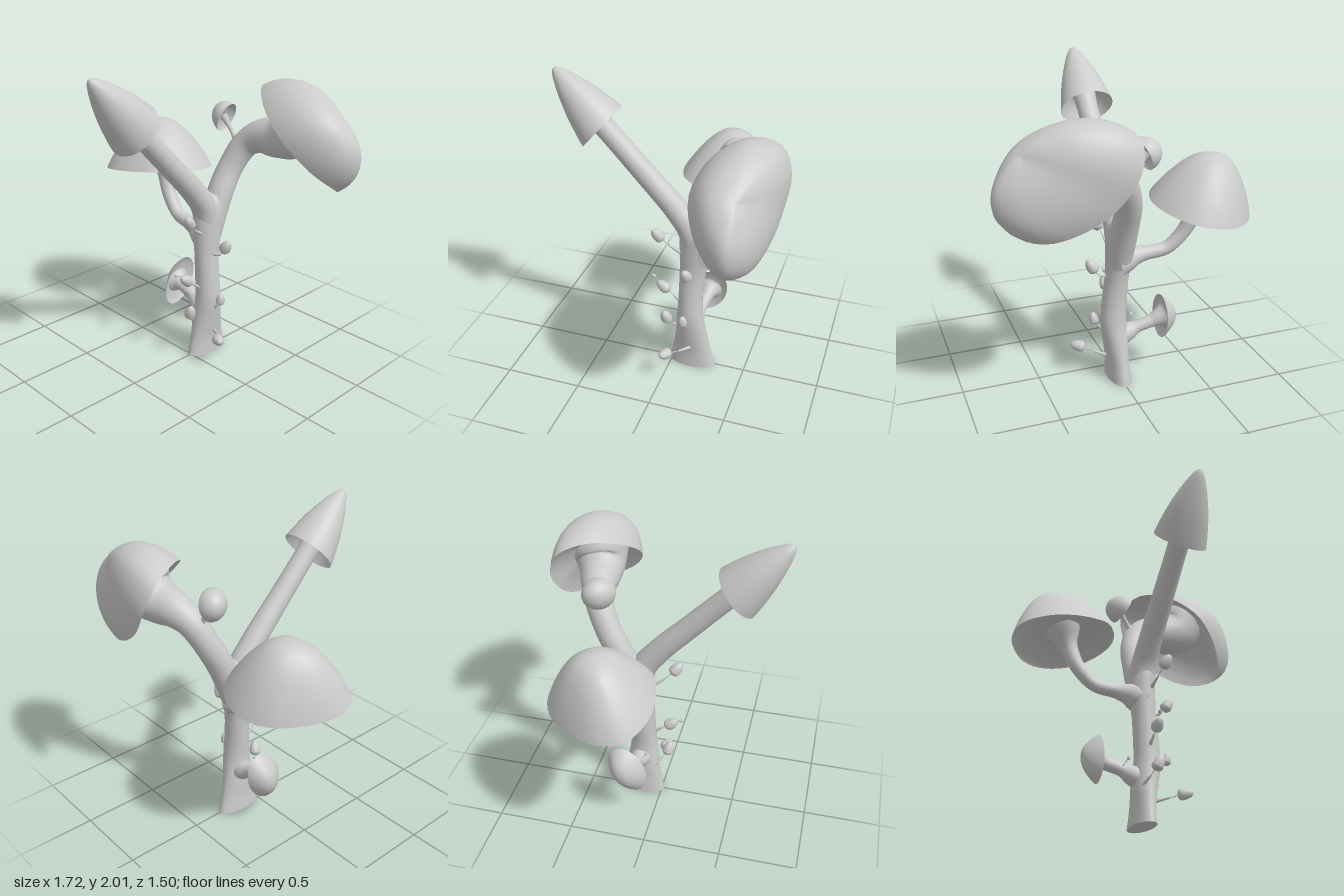
import * as THREE from 'three';

const material = new THREE.MeshStandardMaterial({ color: 0xcccccc, side: THREE.DoubleSide });
const V = (a) => new THREE.Vector3(...a);

// Smooth surface from a stack of rings; at(i, angle) gives each corner
function loft(rings, sides, at) {
  const pos = [], index = [];
  for (let i = 0; i < rings; i++) {
    for (let j = 0; j < sides; j++) {
      pos.push(...at(i, (j / sides) * Math.PI * 2).toArray());
      if (i === rings - 1) continue;
      const k = (j + 1) % sides, a = i * sides + j, b = i * sides + k;
      index.push(a, a + sides, b, b, a + sides, b + sides);
    }
  }
  const geo = new THREE.BufferGeometry();
  geo.setAttribute('position', new THREE.Float32BufferAttribute(pos, 3));
  geo.setIndex(index);
  geo.computeVertexNormals();
  return geo;
}

function add(parent, name, geo) {
  const mesh = new THREE.Mesh(geo, material);
  mesh.name = name;
  parent.add(mesh);
}

// Round branch along points of [x, y, z, radius]
function limb(parent, name, points, sides = 20, steps = 32) {
  const path = new THREE.CatmullRomCurve3(points.map((p) => V(p.slice(0, 3))));
  const radii = new THREE.CatmullRomCurve3(points.map((p) => new THREE.Vector3(p[3], 0, 0)));
  const side = new THREE.Vector3(), ahead = new THREE.Vector3();
  const frames = [];
  for (let i = 0; i <= steps; i++) {
    const t = i / steps, tangent = path.getTangent(t);
    if (i === 0) side.crossVectors(tangent, Math.abs(tangent.z) < 0.8 ? V([0, 0, 1]) : V([1, 0, 0]));
    side.addScaledVector(tangent, -side.dot(tangent)).normalize();
    ahead.crossVectors(tangent, side);
    frames.push({ c: path.getPoint(t), r: radii.getPoint(t).x, n: side.clone(), b: ahead.clone() });
  }
  add(parent, name, loft(steps + 1, sides, (i, a) => {
    const f = frames[i];
    return f.c.clone().addScaledVector(f.n, Math.cos(a) * f.r).addScaledVector(f.b, Math.sin(a) * f.r);
  }));
}

// Cap profiles: [share of rim radius, share of height]
const DOME = [[1, 0], [0.98, 0.2], [0.9, 0.44], [0.76, 0.65], [0.56, 0.83], [0.3, 0.95], [0.12, 0.993], [0, 1]];
const HAT = [[1, 0], [0.93, 0.14], [0.78, 0.4], [0.56, 0.7], [0.34, 0.9], [0.15, 0.98], [0, 1]];
const SPIKE = [[1, 0], [0.93, 0.14], [0.74, 0.43], [0.49, 0.7], [0.25, 0.9], [0.1, 0.98], [0, 1]];
const HOLLOW = [[1, 0], [0.93, 0.06], [0.78, 0.16], [0.5, 0.26], [0, 0.3]];
const BULGE = [[1, 0], [0.85, -0.16], [0.5, -0.3], [0, -0.35]];

// Rims as offsets from the cap centre: an oval with half-axes u, v, or a free loop
const oval = (u, v) => (a) => V(u).multiplyScalar(Math.cos(a)).addScaledVector(V(v), Math.sin(a));
function freeRim(centre, points) {
  const curve = new THREE.CatmullRomCurve3(points.map((p) => V(p).sub(V(centre))), true);
  return (a) => curve.getPoint(((a / (Math.PI * 2)) % 1 + 1) % 1);
}

// Cap shrinking from its rim to an apex at centre + h
function cap(parent, name, centre, rim, h, outer, inner = HOLLOW, sides = 40) {
  const c = V(centre), H = V(h);
  const turn = rim(0).cross(rim(Math.PI / 2)).dot(H) > 0 ? -1 : 1;
  const shell = (profile) => {
    const pts = new THREE.SplineCurve(profile.map((p) => new THREE.Vector2(...p))).getPoints(18);
    return loft(pts.length, sides, (i, a) => rim(turn * a).multiplyScalar(pts[i].x)
      .add(c).addScaledVector(H, pts[i].y));
  };
  const group = new THREE.Group();
  group.name = name;
  add(group, name + 'Top', shell(outer));
  add(group, name + 'Underside', shell(inner));
  parent.add(group);
}

// Little bud on a thin curved stalk
function bud(parent, root, bend, centre, axis, radius = 0.038) {
  const group = new THREE.Group();
  group.name = 'bud';
  const dir = V(axis).normalize();
  const u = dir.clone().cross(V([0, 1, 0])).normalize();
  const v = dir.clone().cross(u);
  const r = radius * 0.18;
  limb(group, 'budStalk', [[...root, r * 2], [...bend, r], [...centre, r]], 8, 10);
  const base = V(centre).addScaledVector(dir, -radius * 0.6);
  cap(group, 'budHead', base.toArray(), oval(u.multiplyScalar(radius).toArray(), v.multiplyScalar(radius).toArray()),
    dir.multiplyScalar(radius * 2).toArray(), DOME, BULGE, 12);
  parent.add(group);
}

export function createModel() {
  const model = new THREE.Group();
  model.name = 'branchingMushroom';

  // Trunk: oval sections [y, centre x, centre z, half width, half depth]
  const sections = [
    [0, 0.003, -0.14, 0.073, 0.158], [0.12, 0.007, -0.137, 0.07, 0.13], [0.25, 0.015, -0.133, 0.08, 0.107],
    [0.4, 0.03, -0.128, 0.083, 0.087], [0.55, 0.022, -0.128, 0.08, 0.08], [0.7, 0.01, -0.133, 0.075, 0.083],
    [0.85, 0, -0.145, 0.084, 0.097], [1.0, 0, -0.165, 0.083, 0.118], [1.07, 0, -0.175, 0.07, 0.09],
    [1.11, 0, -0.18, 0.045, 0.05], [1.125, 0, -0.18, 0.002, 0.002]];
  const centres = new THREE.CatmullRomCurve3(sections.map((s) => new THREE.Vector3(s[1], s[0], s[2])));
  const sizes = new THREE.CatmullRomCurve3(sections.map((s) => new THREE.Vector3(s[3], 0, s[4])));
  add(model, 'trunk', loft(41, 28, (i, a) => {
    const c = centres.getPoint(i / 40), s = sizes.getPoint(i / 40);
    return new THREE.Vector3(c.x + Math.cos(a) * s.x, c.y, c.z + Math.sin(a) * s.z);
  }));
  const base = new THREE.CircleGeometry(1, 28).rotateX(Math.PI / 2).scale(0.073, 1, 0.158);
  add(model, 'trunkBase', base.translate(0.003, 0, -0.14));

  // Front branch with the pointed cap
  limb(model, 'frontBranch', [[0, 0.75, -0.135, 0.06], [0, 1.02, -0.122, 0.083], [0, 1.16, -0.03, 0.077],
    [0, 1.4, 0.19, 0.07], [0, 1.64, 0.415, 0.066], [0, 1.74, 0.51, 0.075]]);
  cap(model, 'pointedCap', [0, 1.665, 0.45], oval([0.172, 0, 0], [0, -0.127, 0.112]), [0, 0.335, 0.3], SPIKE);

  // Back branch bending over and flaring into the largest cap
  limb(model, 'backBranch', [[0, 0.8, -0.155, 0.075], [0, 1.08, -0.25, 0.085], [0.015, 1.27, -0.345, 0.082],
    [0.08, 1.42, -0.415, 0.088], [0.18, 1.48, -0.45, 0.11], [0.29, 1.495, -0.47, 0.132], [0.38, 1.53, -0.49, 0.16],
    [0.44, 1.61, -0.52, 0.2]]);
  const largeCentre = [0.39, 1.49, -0.48];
  cap(model, 'largeCap', largeCentre, freeRim(largeCentre, [
    [0.06, 1.73, -0.66], [0.13, 1.79, -0.49], [0.29, 1.72, -0.32], [0.49, 1.57, -0.25], [0.66, 1.38, -0.34],
    [0.74, 1.245, -0.5], [0.6, 1.21, -0.62], [0.38, 1.28, -0.69], [0.2, 1.41, -0.72], [0.09, 1.58, -0.73],
  ]), [0.31, 0.2, -0.08], DOME);

  // Side branch with the broad cap
  limb(model, 'sideBranch', [[0.01, 0.825, -0.148, 0.105], [-0.06, 0.84, -0.15, 0.085], [-0.11, 0.851, -0.155, 0.062],
    [-0.18, 0.862, -0.165, 0.046], [-0.31, 0.885, -0.18, 0.043], [-0.42, 1.0, -0.2, 0.047],
    [-0.475, 1.13, -0.22, 0.056], [-0.52, 1.26, -0.23, 0.12]]);
  const broadCentre = [-0.52, 1.16, -0.23];
  const broadOutline = [[-0.83, 0], [-0.71, 0.075], [-0.58, 0.095], [-0.42, 0.07], [-0.29, 0.01], [-0.19, -0.17],
    [-0.2, -0.33], [-0.29, -0.48], [-0.42, -0.55], [-0.56, -0.55], [-0.7, -0.47], [-0.83, -0.27], [-0.865, -0.12]];
  cap(model, 'broadCap', broadCentre, freeRim(broadCentre,
    broadOutline.map(([x, z]) => [x, 1.16 + 0.17 * (x + 0.52) + 0.13 * (z + 0.23), z])), [-0.065, 0.33, -0.03], HAT);

  // Low branch with the upright flat cap
  limb(model, 'lowBranch', [[0.02, 0.28, -0.13, 0.08], [-0.07, 0.315, -0.14, 0.062], [-0.14, 0.345, -0.15, 0.04],
    [-0.22, 0.37, -0.16, 0.042], [-0.275, 0.39, -0.165, 0.06], [-0.305, 0.395, -0.165, 0.09]]);
  cap(model, 'flatCap', [-0.282, 0.397, -0.165], oval([0.008, 0.165, -0.035], [0, 0, 0.125]), [-0.095, 0.01, -0.02], HAT);

  // Small cap on the back branch
  limb(model, 'smallStem', [[0.04, 1.4, -0.39, 0.03], [-0.02, 1.49, -0.38, 0.014], [-0.085, 1.58, -0.37, 0.025]], 10, 12);
  cap(model, 'smallCap', [-0.055, 1.57, -0.37], oval([0.035, 0.092, 0], [0.02, 0, 0.1]), [-0.102, 0.045, 0], DOME, HOLLOW, 20);

  // Buds scattered along the trunk: root, bend, centre, axis, radius
  [
    [[0.03, 0.88, -0.06], [0.045, 0.93, 0.01], [0.068, 1.005, 0.08], [0.3, 0.7, 0.5]],
    [[0.07, 0.73, -0.13], [0.125, 0.74, -0.135], [0.175, 0.81, -0.138], [0.5, 0.8, 0.05]],
    [[0.02, 0.49, -0.06], [0.02, 0.54, 0], [0.02, 0.585, 0.06], [0, 0.55, 0.8]],
    [[0.1, 0.35, -0.12], [0.13, 0.385, -0.118], [0.158, 0.435, -0.115], [0.15, 1, 0.05], 0.03],
    [[-0.03, 0.235, -0.05], [0, 0.28, 0.0], [0.035, 0.35, 0.04], [0.35, 0.9, 0.2]],
    [[0.08, 0.165, -0.14], [0.16, 0.185, -0.09], [0.235, 0.2, -0.02], [0.8, 0.15, 0.4], 0.037],
    [[0.01, 0.59, 0.07], [0.005, 0.62, 0.1], [0, 0.64, 0.135], [0, 0.5, 0.8], 0.011],
    [[-0.14, 0.35, -0.12], [-0.125, 0.37, -0.1], [-0.11, 0.4, -0.08], [0.2, 0.9, 0.4], 0.011],
  ].forEach((b) => bud(model, ...b));

  return model;
}
